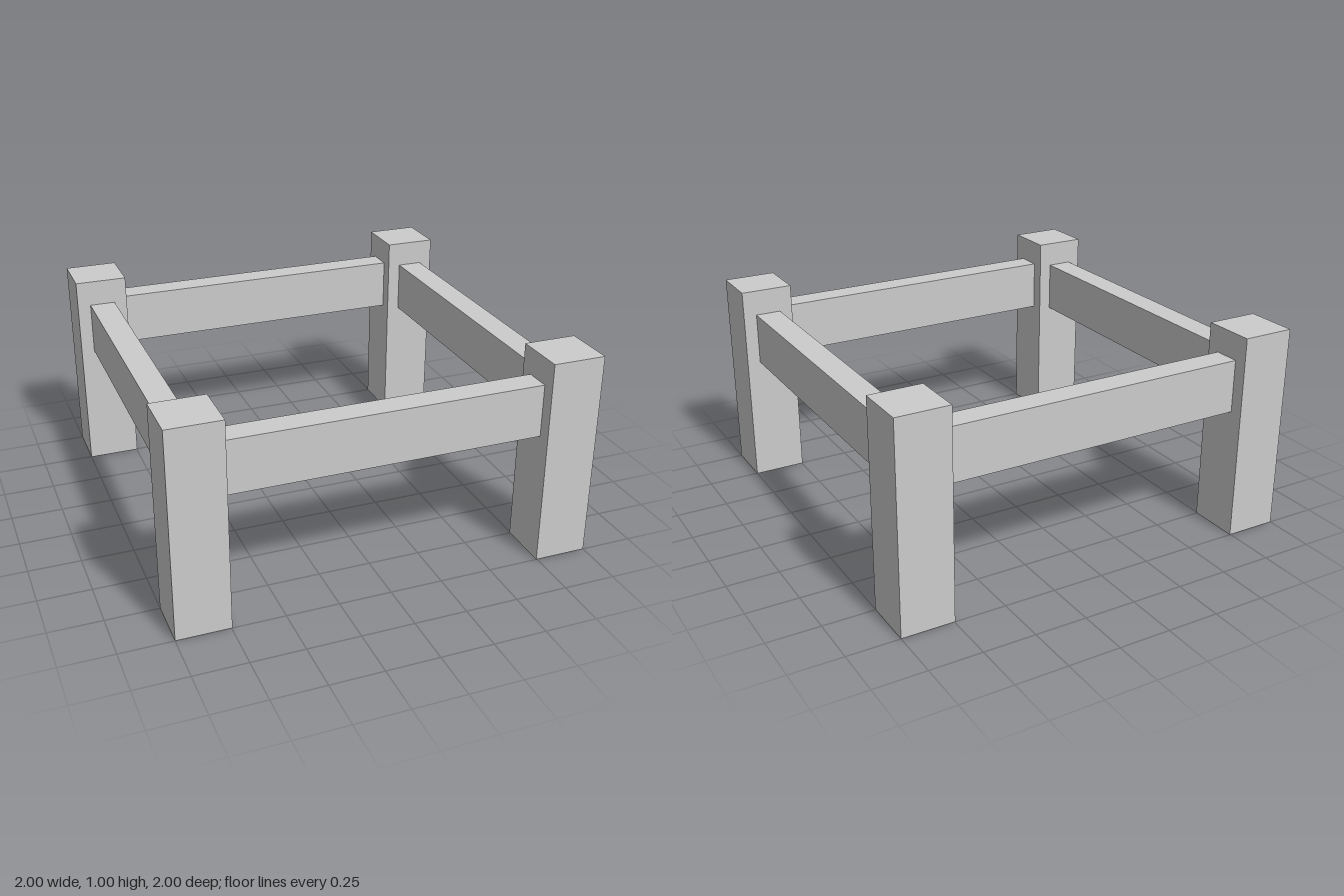
import * as THREE from 'three';

const LEG = 0.254;          // square leg width
const HEIGHT = 1;
const RAIL_H = 0.255;
const RAIL_T = 0.125;
const RAIL_Y = 0.747;       // rail centre height
const C = 1 - LEG / 2;      // leg and rail centreline
const SPAN = 2 - 2 * LEG;   // clear distance between legs

export function createModel() {
  const group = new THREE.Group();
  group.name = 'tableFrame';
  const material = new THREE.MeshStandardMaterial({ color: 0xcccccc, flatShading: true });

  const add = (name, geometry, x, y, z, turn = 0) => {
    const mesh = new THREE.Mesh(geometry, material);
    mesh.name = name;
    mesh.position.set(x, y, z);
    mesh.rotation.y = turn;
    group.add(mesh);
  };

  // Four square corner legs
  const leg = new THREE.BoxGeometry(LEG, HEIGHT, LEG);
  for (const [zName, z] of [['front', C], ['back', -C]]) {
    for (const [xName, x] of [['Left', C], ['Right', -C]]) {
      add(`${zName}${xName}Leg`, leg, x, HEIGHT / 2, z);
    }
  }

  // Four rails butted between the legs
  const rail = new THREE.BoxGeometry(SPAN, RAIL_H, RAIL_T);
  add('frontRail', rail, 0, RAIL_Y, C);
  add('backRail', rail, 0, RAIL_Y, -C);
  add('leftRail', rail, C, RAIL_Y, 0, Math.PI / 2);
  add('rightRail', rail, -C, RAIL_Y, 0, Math.PI / 2);

  return group;
}
